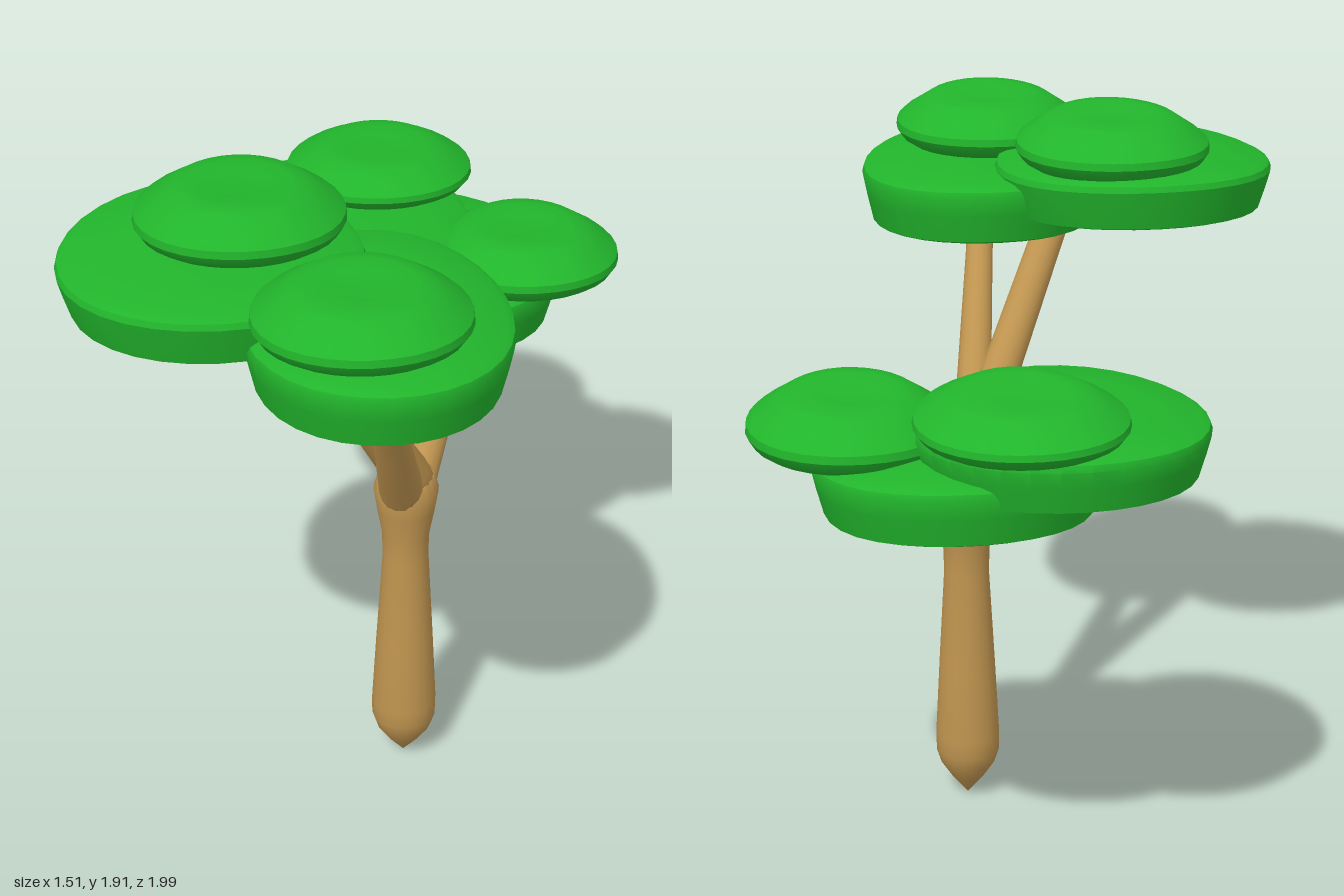
import * as THREE from 'three';
import { toCreasedNormals } from 'three/addons/utils/BufferGeometryUtils.js';

const bark = new THREE.MeshStandardMaterial({ color: 0xc09550 });
const leaf = new THREE.MeshStandardMaterial({ color: 0x22b52c });

// Profiles as [radius, height] fractions, from underside centre to top centre
const PAD = [[0, 0.12], [0.6, 0.1], [0.87, 0.02], [0.92, 0.06], [0.97, 0.45], [1, 0.72], [0.985, 0.82], [0.93, 0.88], [0.6, 0.95], [0, 0.97]];
const CAP = [[0, 0.08], [0.6, 0.05], [0.85, 0.02], [0.94, 0.14], [1, 0.33], [0.99, 0.48], [0.92, 0.6], [0.8, 0.75], [0.66, 0.93], [0.5, 0.98], [0.3, 0.95], [0, 0.92]];

function lathe(points, segments) {
  return new THREE.LatheGeometry(points.map(([r, y]) => new THREE.Vector2(r, y)), segments);
}

// Foliage disc: lathed, stretched, then gently waved around the rim and tilted
function foliage(name, profile, [x, z], [rx, rz], [y0, y1], wave, tilt) {
  const geo = lathe(profile, 32).scale(rx, y1 - y0, rz);
  const p = geo.attributes.position;
  for (let i = 0; i < p.count; i++) {
    const u = p.getX(i) / rx, v = p.getZ(i) / rz;
    p.setY(i, p.getY(i) + wave * (v * v - u * u) + tilt * p.getZ(i));
  }
  const mesh = new THREE.Mesh(toCreasedNormals(geo, 0.6), leaf);
  mesh.name = name;
  mesh.position.set(x, y0, z);
  return mesh;
}

// Straight branch, thicker at its base, with a rounded lower end
function branch(name, from, to, r0, r1) {
  const a = new THREE.Vector3(...from), b = new THREE.Vector3(...to);
  const dir = b.clone().sub(a), len = dir.length();
  const geo = lathe([[0, -r0 * 0.8], [r0 * 0.6, -r0 * 0.65], [r0 * 0.95, -r0 * 0.2], [r0, 0.04],
    [(r0 + r1) / 2, len * 0.35], [r1, len * 0.8], [r1 * 0.95, len], [0, len + 0.01]], 16);
  const mesh = new THREE.Mesh(toCreasedNormals(geo, 0.8), bark);
  mesh.name = name;
  mesh.position.copy(a);
  mesh.quaternion.setFromUnitVectors(new THREE.Vector3(0, 1, 0), dir.normalize());
  return mesh;
}

export function createModel() {
  const tree = new THREE.Group();
  tree.name = 'tree';

  // Trunk: pointed root, slim waist, swelling fork
  const trunkGeo = lathe([[0, 0], [0.045, 0.055], [0.075, 0.1], [0.088, 0.14], [0.089, 0.19], [0.078, 0.4],
    [0.062, 0.68], [0.064, 0.75], [0.078, 0.83], [0.087, 0.89], [0.075, 0.935], [0.04, 0.955], [0, 0.96]], 20);
  const trunk = new THREE.Mesh(toCreasedNormals(trunkGeo, 0.8), bark);
  trunk.name = 'trunk';
  trunk.position.set(0.125, 0, 0.11);
  tree.add(trunk);

  // Four branches, one for each large pad
  tree.add(
    branch('highLeftBranch', [0.14, 0.92, 0.12], [-0.22, 1.67, 0.46], 0.06, 0.046),
    branch('highRightBranch', [0.115, 0.87, 0.12], [-0.01, 1.6, 0.62], 0.06, 0.038),
    branch('lowOuterBranch', [0.14, 0.86, 0.08], [0.41, 1.17, -0.59], 0.06, 0.04),
    branch('lowInnerBranch', [0.125, 0.87, 0.06], [0.1, 1.25, -0.72], 0.06, 0.042),
  );

  // Large pads and the small caps resting on them
  const pads = [
    ['highSidePad', [-0.38, 0.35], [0.375, 0.37], [1.63, 1.785], 0.01],
    ['highFrontPad', [0, 0.59], [0.325, 0.4], [1.55, 1.735], 0.014],
    ['lowBackPad', [0, -0.56], [0.37, 0.37], [1.215, 1.38], 0.01],
    ['lowSidePad', [0.24, -0.475], [0.365, 0.37], [1.11, 1.29], 0.016],
  ];
  for (const [name, c, r, h, wave] of pads) tree.add(foliage(name, PAD, c, r, h, wave, 0));

  const caps = [
    ['highSideCap', [-0.305, 0.27], [1.77, 1.9]],
    ['highFrontCap', [-0.05, 0.725], [1.735, 1.865]],
    ['lowBackCap', [0.13, -0.735], [1.375, 1.485]],
    ['lowSideCap', [0.495, -0.395], [1.26, 1.395]],
  ];
  for (const [name, c, h] of caps) tree.add(foliage(name, CAP, c, [0.26, 0.264], h, 0.006, 0.05));

  return tree;
}
